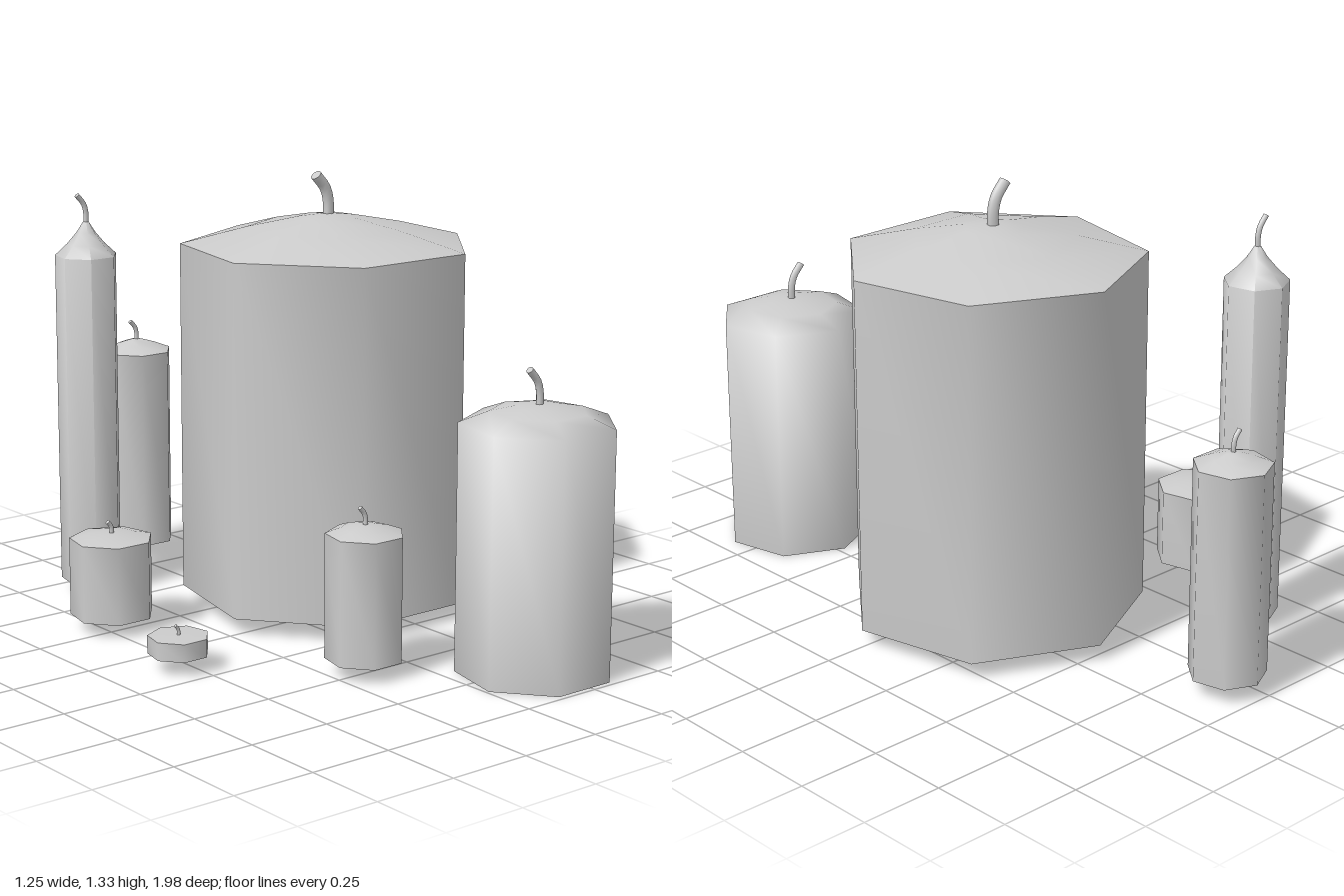
import * as THREE from 'three';
import { toCreasedNormals } from 'three/addons/utils/BufferGeometryUtils.js';

const SIDES = 7;
const material = new THREE.MeshStandardMaterial({ color: 0xcccccc });

// Top profiles as [radius fraction, height fraction] from rim to tip
const DOME = [[1, 0], [0.55, 0.55], [0.2, 0.88], [0, 1]];
const ROUND = [[1, 0], [0.62, 0.62], [0.3, 0.9], [0, 1]];
const TAPER = [[1, 0], [0.62, 0.32], [0.3, 0.66], [0.1, 0.95], [0, 1]];

// Wax body: seven-sided lathe with one corner at the back
function makeWax(c) {
  const points = [new THREE.Vector2(0, c.base), new THREE.Vector2(c.r, c.base)];
  for (const [fr, fy] of c.top) {
    points.push(new THREE.Vector2(c.r * fr, c.rim + (c.tip - c.rim) * fy));
  }
  const geometry = new THREE.LatheGeometry(points, SIDES, Math.PI);
  const wax = new THREE.Mesh(toCreasedNormals(geometry, c.crease ?? 1.05), material);
  wax.name = 'wax';
  return wax;
}

// Bent wick leaning to -x, closed at its free end
function makeWick(c) {
  const h = c.wick;
  const curve = new THREE.CatmullRomCurve3(
    [[0, -0.1], [0, 0.3], [-0.1, 0.65], [-0.4, 1]].map(
      ([x, y]) => new THREE.Vector3(x * h, c.tip + y * h, 0)
    )
  );
  const wick = new THREE.Group();
  wick.name = 'wick';
  const stem = new THREE.Mesh(new THREE.TubeGeometry(curve, 8, c.wickR, SIDES), material);
  stem.name = 'wickStem';
  const end = new THREE.Mesh(new THREE.CircleGeometry(c.wickR, 12), material);
  end.name = 'wickEnd';
  end.position.copy(curve.getPoint(1));
  end.lookAt(curve.getPoint(1).add(curve.getTangent(1)));
  wick.add(stem, end);
  return wick;
}

const CANDLES = [
  { name: 'largePillarCandle', x: 0.193, z: -0.094, r: 0.439, base: 0.05, rim: 1.107, tip: 1.2, top: DOME, wick: 0.115, wickR: 0.017 },
  { name: 'frontPillarCandle', x: 0.227, z: 0.782, r: 0.224, base: 0, rim: 0.72, tip: 0.772, top: ROUND, crease: 1.35, wick: 0.1, wickR: 0.011 },
  { name: 'smallPillarCandle', x: -0.156, z: 0.498, r: 0.113, base: 0.045, rim: 0.408, tip: 0.434, top: ROUND, wick: 0.05, wickR: 0.007 },
  { name: 'teaLightCandle', x: -0.538, z: 0.14, r: 0.089, base: 0.045, rim: 0.098, tip: 0.1, top: DOME, wick: 0.028, wickR: 0.005 },
  { name: 'shortCandle', x: -0.468, z: -0.287, r: 0.125, base: 0.042, rim: 0.275, tip: 0.291, top: ROUND, wick: 0.034, wickR: 0.007 },
  { name: 'taperCandle', x: -0.3, z: -0.641, r: 0.095, base: 0.04, rim: 1.052, tip: 1.158, top: TAPER, wick: 0.078, wickR: 0.008 },
  { name: 'backPillarCandle', x: 0.052, z: -0.887, r: 0.113, base: 0.05, rim: 0.675, tip: 0.712, top: DOME, wick: 0.057, wickR: 0.007 },
];

export function createModel() {
  const model = new THREE.Group();
  model.name = 'candles';
  for (const c of CANDLES) {
    const candle = new THREE.Group();
    candle.name = c.name;
    candle.position.set(c.x, 0, c.z);
    candle.add(makeWax(c), makeWick(c));
    model.add(candle);
  }
  return model;
}
